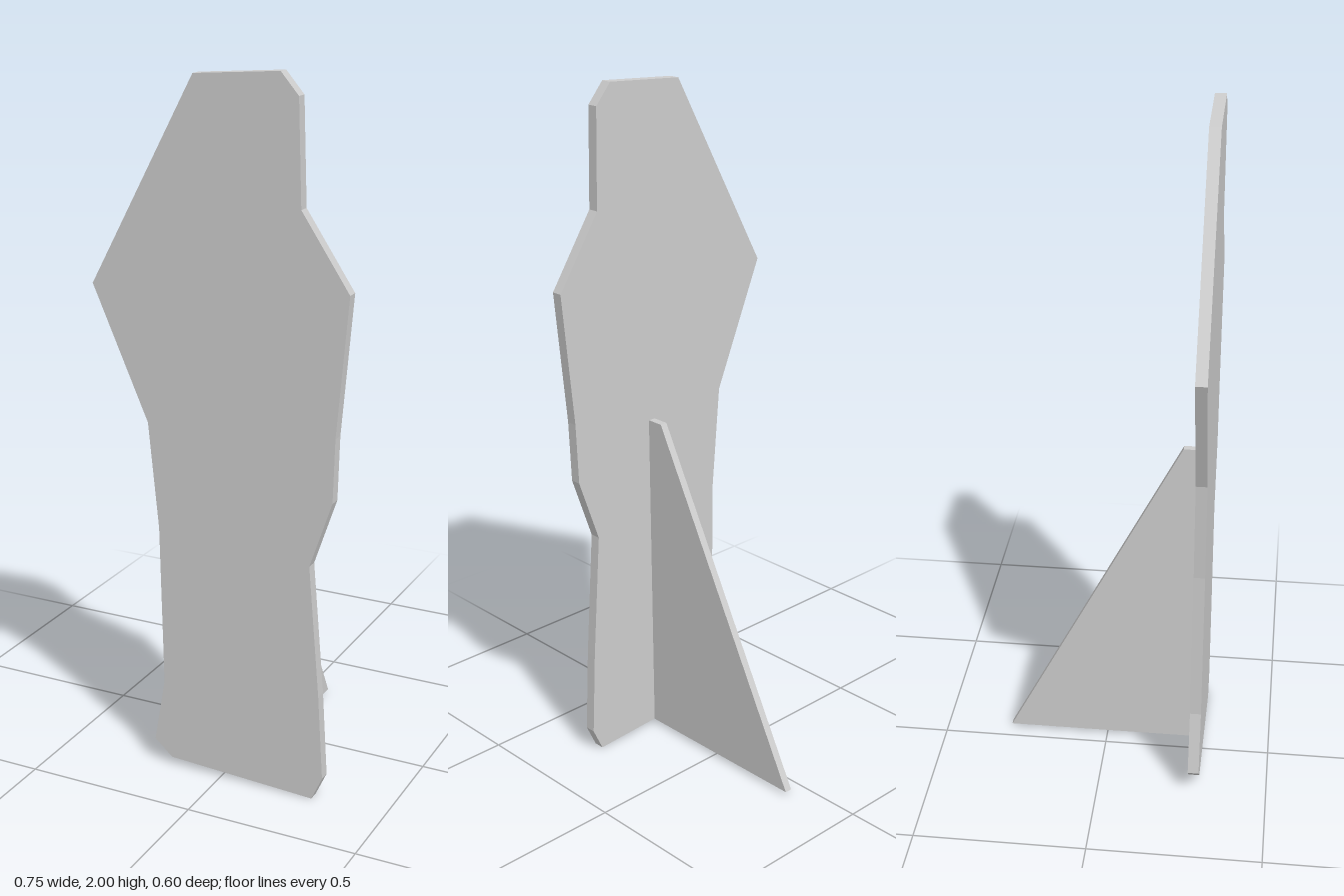
import * as THREE from 'three';

// Flat board cut from an outline, extruded along +z
function board(name, points, depth, material) {
  const shape = new THREE.Shape(points.map(([x, y]) => new THREE.Vector2(x, y)));
  const geometry = new THREE.ExtrudeGeometry(shape, { depth, bevelEnabled: false });
  const mesh = new THREE.Mesh(geometry, material);
  mesh.name = name;
  return mesh;
}

export function createModel() {
  const group = new THREE.Group();
  group.name = 'standingCutout';
  const grey = new THREE.MeshStandardMaterial({ color: 0xcccccc });
  grey.name = 'light grey';

  // Upright panel with an irregular outline, clockwise from the top
  const panel = board('panel', [
    [-0.063, 1.982], [0.182, 2], [0.232, 1.942], [0.24, 1.66], [0.376, 1.455],
    [0.341, 1.07], [0.335, 0.89], [0.27, 0.7], [0.3, 0.32], [0.314, 0.07],
    [0.282, 0], [-0.16, 0.022], [-0.214, 0.07], [-0.18, 0.26],
    [-0.187, 0.73], [-0.215, 1.035], [-0.376, 1.408],
  ], 0.032, grey);
  panel.position.z = 0.268;
  group.add(panel);

  // Triangular support behind the panel, turned so its outline lies in the z-y plane
  const brace = board('rearBrace', [
    [-0.268, 0.01], [0.3, 0.01], [-0.217, 1.01], [-0.268, 1.01],
  ], 0.022, grey);
  brace.rotation.y = Math.PI / 2;
  brace.position.x = 0.046;
  group.add(brace);

  return group;
}
